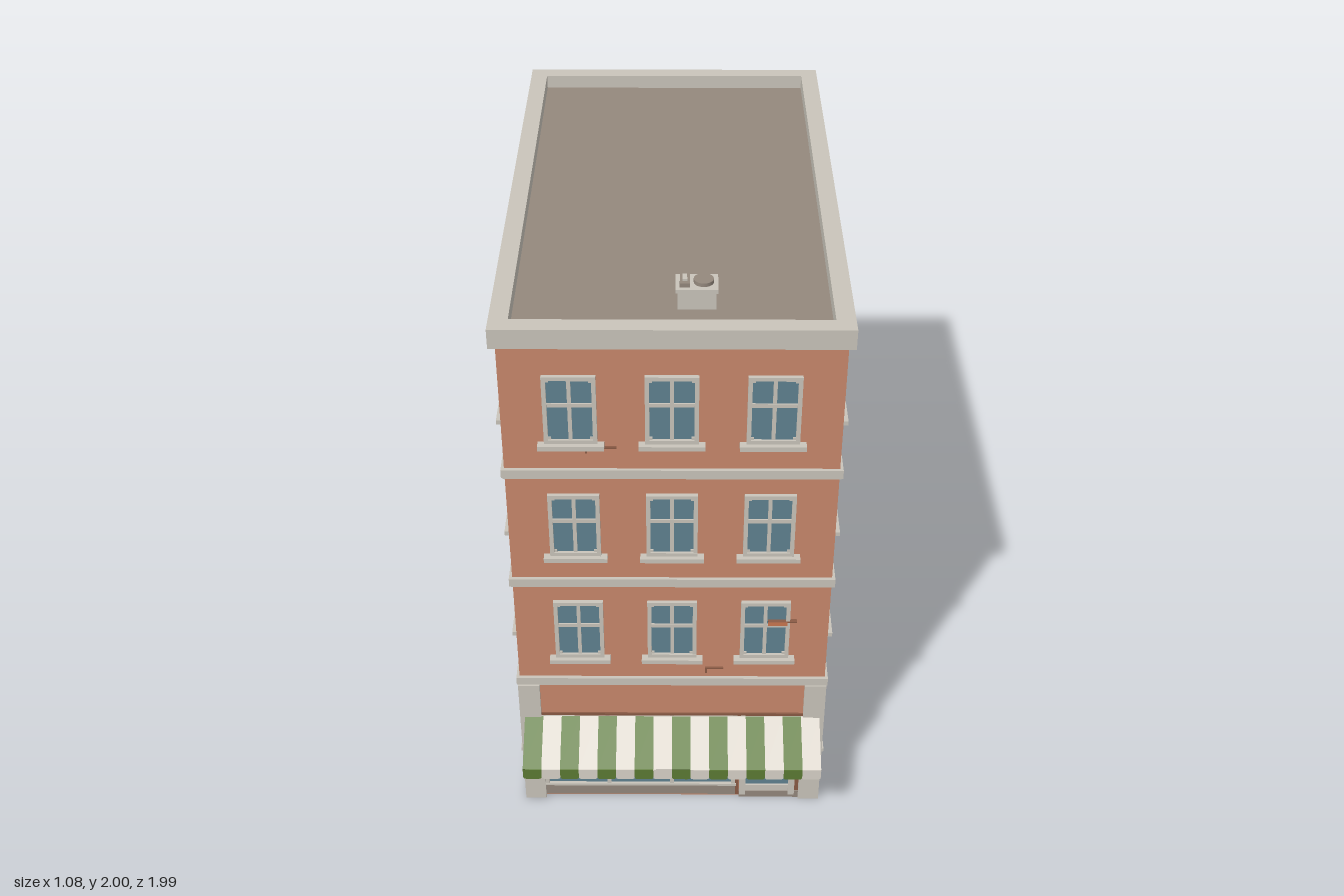
import * as THREE from 'three';

const mat = (name, color) => {
  const m = new THREE.MeshStandardMaterial({ color });
  m.name = name;
  return m;
};

export function createModel() {
  const brick = mat('terracotta brick', 0xc8886b);
  const darkBrick = mat('dark brick', 0x8a5a45);
  const trim = mat('stone trim', 0xc9c4ba);
  const roofMat = mat('taupe roofing', 0x94887d);
  const glass = mat('window glass', 0x5f8190);
  const green = mat('awning green', 0x5c7a34);
  const cream = mat('awning cream', 0xd8d2c8);
  const copper = mat('copper', 0xc9774f);

  const model = new THREE.Group();
  model.name = 'building';

  // Box given by its extents along each axis
  const box = (parent, name, material, x0, x1, y0, y1, z0, z1) => {
    const mesh = new THREE.Mesh(new THREE.BoxGeometry(x1 - x0, y1 - y0, z1 - z0), material);
    mesh.position.set((x0 + x1) / 2, (y0 + y1) / 2, (z0 + z1) / 2);
    mesh.name = name;
    parent.add(mesh);
    return mesh;
  };

  // Rectangular ring lying flat, open in the middle
  const ring = (name, x, z0, z1, inner, y0, y1) => {
    const rect = (path, w, a, b) => {
      path.moveTo(-w, -a);
      path.lineTo(w, -a);
      path.lineTo(w, -b);
      path.lineTo(-w, -b);
      path.closePath();
      return path;
    };
    const shape = rect(new THREE.Shape(), x, z1, z0);
    shape.holes.push(rect(new THREE.Path(), x - inner, z1 - inner, z0 + inner));
    const geo = new THREE.ExtrudeGeometry(shape, { depth: y1 - y0, bevelEnabled: false });
    geo.rotateX(-Math.PI / 2);
    const mesh = new THREE.Mesh(geo, trim);
    mesh.position.y = y0;
    mesh.name = name;
    model.add(mesh);
  };

  // Walls, plinth and roof
  box(model, 'walls', brick, -0.51, 0.51, 0, 1.895, -0.97, 0.818);
  box(model, 'plinth', darkBrick, -0.516, 0.516, 0, 0.012, -0.977, 0.818);
  box(model, 'roof', roofMat, -0.48, 0.48, 1.893, 1.908, -0.95, 0.785);
  ring('parapet', 0.53, -0.99, 0.835, 0.058, 1.89, 1.955);
  for (const y of [0.55, 0.985, 1.42]) {
    ring('floorBand', 0.52, -0.98, 0.83, 0.03, y, y + 0.03);
    ring('floorBandLip', 0.515, -0.975, 0.825, 0.03, y - 0.006, y);
  }

  // Sash window facing +z, standing on its sill
  const addWindow = (x, y, z, angle) => {
    const w = new THREE.Group();
    w.name = 'window';
    const h = 0.24, half = 0.08, f = 0.013;
    box(w, 'pane', glass, -half + 0.005, half - 0.005, 0.005, h - 0.005, -0.002, 0.004);
    for (const s of [-1, 1]) {
      const c = s * (half - f / 2);
      box(w, 'jamb', trim, c - f / 2, c + f / 2, 0, h, 0, 0.013);
      for (const cy of [f + 0.004, h - f - 0.004]) {
        const k = s * (half - f - 0.004);
        box(w, 'cornerBlock', trim, k - 0.005, k + 0.005, cy - 0.005, cy + 0.005, 0, 0.008);
      }
    }
    box(w, 'head', trim, -half, half, h - f, h, 0, 0.0135);
    box(w, 'bottomRail', trim, -half, half, 0, f, 0, 0.0135);
    box(w, 'mullion', trim, -0.006, 0.006, f, h - f, 0, 0.008);
    box(w, 'meetingRail', trim, -half + f, half - f, 0.131, 0.144, 0, 0.009);
    box(w, 'sill', trim, -0.1, 0.1, -0.016, 0, 0, 0.028);
    w.position.set(x, y, z);
    w.rotation.y = angle;
    model.add(w);
  };
  const rows = [0.12, 0.677, 1.113, 1.55];
  for (const y of rows.slice(1)) {
    for (const x of [-0.303, 0, 0.303]) addWindow(x, y, 0.818, 0);
  }
  for (const y of rows) {
    for (let i = 0; i < 5; i++) {
      for (const s of [-1, 1]) addWindow(s * 0.51, y, 0.61 - i * 0.3425, s * Math.PI / 2);
    }
  }

  // Shop front
  const shop = new THREE.Group();
  shop.name = 'shopFront';
  model.add(shop);
  const z = 0.816;
  for (const s of [-1, 1]) {
    const c = s * 0.48;
    box(shop, 'pilaster', trim, c - 0.036, c + 0.036, 0, 0.55, 0.78, 0.836);
  }
  box(shop, 'signBoard', brick, -0.444, 0.444, 0.415, 0.55, z, 0.824);
  box(shop, 'signLedge', darkBrick, -0.444, 0.444, 0.405, 0.415, z, 0.829);
  box(shop, 'shopPane', glass, -0.435, 0.215, 0.065, 0.4, z, 0.82);
  box(shop, 'stallRiser', roofMat, -0.444, 0.232, 0.012, 0.058, z, 0.826);
  box(shop, 'shopSill', trim, -0.444, 0.225, 0.058, 0.068, z, 0.83);
  for (const x of [-0.438, -0.22, 0, 0.214]) {
    box(shop, 'shopMullion', trim, x - 0.007, x + 0.007, 0.068, 0.405, z, 0.828);
  }
  box(shop, 'shopPost', darkBrick, 0.222, 0.234, 0.012, 0.405, z, 0.827);

  // Door
  box(shop, 'doorPane', glass, 0.25, 0.415, 0.06, 0.4, z, 0.82);
  for (const x of [0.247, 0.419]) box(shop, 'doorStile', trim, x - 0.011, x + 0.011, 0.012, 0.4, z, 0.829);
  box(shop, 'doorRail', trim, 0.25, 0.415, 0.03, 0.06, z, 0.827);
  box(shop, 'doorStep', roofMat, 0.235, 0.444, 0, 0.03, z, 0.828);
  box(shop, 'doorEdge', darkBrick, 0.43, 0.444, 0.03, 0.4, z, 0.824);
  const knob = new THREE.Mesh(new THREE.SphereGeometry(0.01, 12, 8), copper);
  knob.position.set(0.388, 0.158, 0.826);
  knob.name = 'doorKnob';
  shop.add(knob);

  // Striped awning with a scalloped valance
  const awning = new THREE.Group();
  awning.name = 'awning';
  model.add(awning);
  const count = 16, sw = 1 / count, hw = sw / 2;
  const flap = new THREE.Shape();
  flap.moveTo(-hw, 0);
  flap.lineTo(-hw, -0.034);
  flap.quadraticCurveTo(-hw, -0.044, -hw + 0.01, -0.044);
  flap.lineTo(hw - 0.01, -0.044);
  flap.quadraticCurveTo(hw, -0.044, hw, -0.034);
  flap.lineTo(hw, 0);
  const flapGeo = new THREE.ExtrudeGeometry(flap, { depth: 0.005, bevelEnabled: false, curveSegments: 4 });
  const rise = 0.085, run = 0.163;
  const clothGeo = new THREE.BoxGeometry(sw, 0.006, Math.hypot(rise, run));
  clothGeo.rotateX(Math.atan2(rise, run));
  for (let i = 0; i < count; i++) {
    const x = -0.5 + sw * (i + 0.5);
    const m = i % 2 ? cream : green;
    const cloth = new THREE.Mesh(clothGeo, m);
    cloth.position.set(x, 0.36, 0.913);
    cloth.name = 'awningStripe';
    const valance = new THREE.Mesh(flapGeo, m);
    valance.position.set(x, 0.319, 0.992);
    valance.name = 'valanceFlap';
    awning.add(cloth, valance);
  }
  box(awning, 'awningRail', trim, -0.49, 0.49, 0.39, 0.402, 0.82, 0.838);

  // Loose brick courses on the walls
  const course = (x, y, len) => {
    box(model, 'brickCourse', darkBrick, x, x + len, y, y + 0.006, 0.815, 0.824);
    box(model, 'brickEnd', darkBrick, x, x + 0.006, y - 0.018, y, 0.815, 0.824);
  };
  course(-0.262, 1.527, 0.095);
  course(0.11, 0.618, 0.06);
  box(model, 'brickPatch', copper, 0.312, 0.375, 0.822, 0.834, 0.815, 0.834);
  box(model, 'brickCourse', darkBrick, 0.312, 0.405, 0.832, 0.838, 0.815, 0.832);
  for (const s of [-1, 1]) {
    const c = s * 0.515;
    box(model, 'sideBrickPatch', copper, c - 0.008, c + 0.008, 0.266, 0.278, 0.26, 0.33);
    box(model, 'sideBrickCourse', darkBrick, c - 0.006, c + 0.006, 0.276, 0.282, 0.26, 0.38);
  }

  // Rooftop ventilation unit
  const unit = new THREE.Group();
  unit.name = 'roofUnit';
  model.add(unit);
  box(unit, 'unitBody', trim, 0.016, 0.13, 1.9, 1.968, 0.566, 0.646);
  box(unit, 'unitLid', trim, 0.01, 0.136, 1.966, 1.979, 0.56, 0.652);
  box(unit, 'unitGrille', roofMat, 0.022, 0.052, 1.978, 1.991, 0.575, 0.637);
  const fan = new THREE.Mesh(new THREE.CylinderGeometry(0.03, 0.03, 0.014, 20), roofMat);
  fan.position.set(0.093, 1.984, 0.606);
  fan.name = 'unitFan';
  unit.add(fan);
  box(unit, 'unitCap', trim, 0.03, 0.044, 1.99, 1.998, 0.59, 0.622);

  return model;
}
